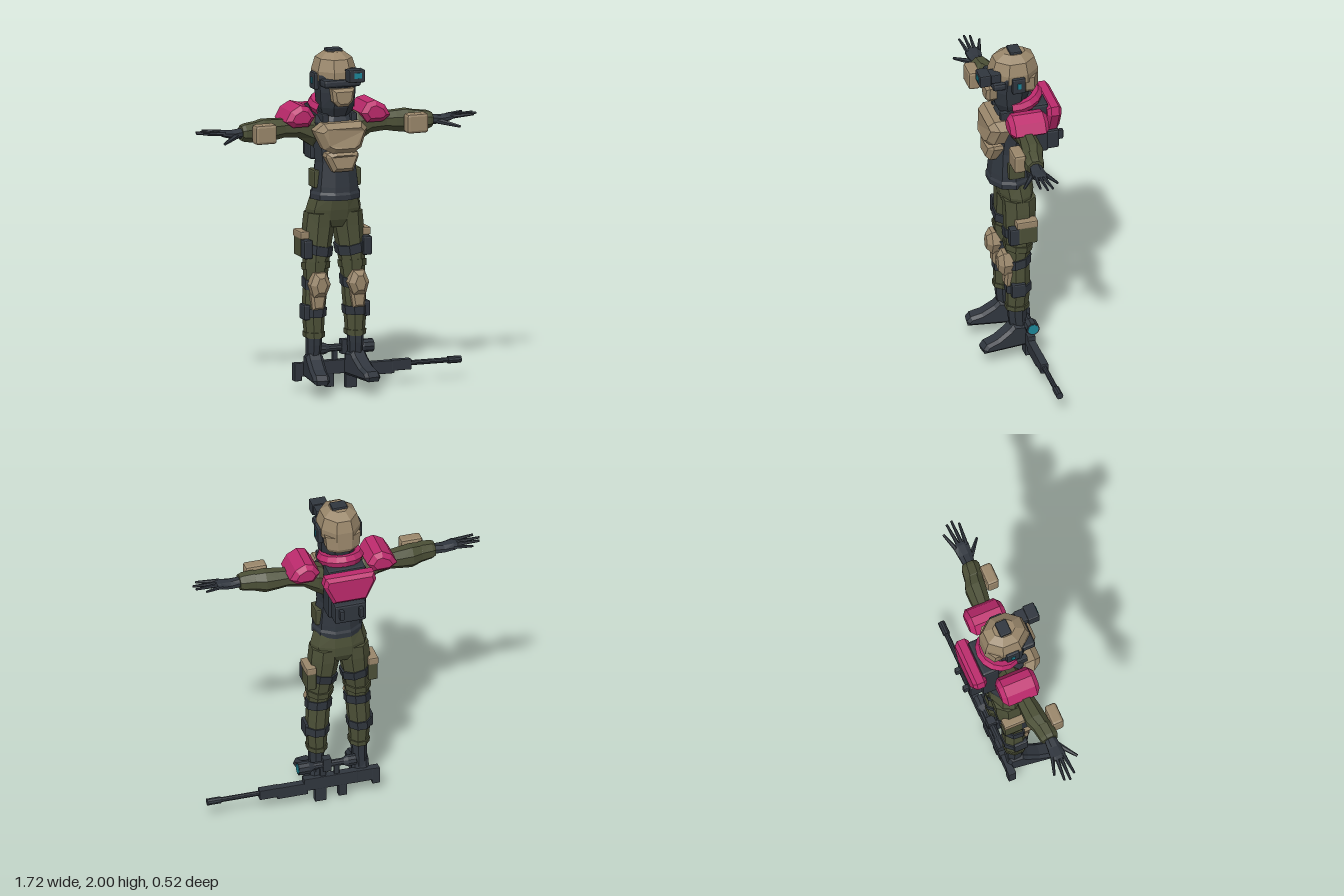
import * as THREE from 'three';
import { RoundedBoxGeometry } from 'three/addons/geometries/RoundedBoxGeometry.js';

const paint = (name, color) => {
  const m = new THREE.MeshStandardMaterial({ color });
  m.name = name;
  return m;
};

// Unshared vertices give hard facets; flip reverses corners after mirroring
function facet(geo, mirrored = false) {
  const g = geo.index ? geo.toNonIndexed() : geo.clone();
  if (mirrored) {
    g.scale(-1, 1, 1);
    const p = g.attributes.position;
    const a = new THREE.Vector3(), b = new THREE.Vector3();
    for (let i = 0; i < p.count; i += 3) {
      a.fromBufferAttribute(p, i + 1);
      b.fromBufferAttribute(p, i + 2);
      p.setXYZ(i + 1, b.x, b.y, b.z);
      p.setXYZ(i + 2, a.x, a.y, a.z);
    }
  }
  g.computeVertexNormals();
  return g;
}

// Skin over elliptical rings. axis y: [y, cx, cz, rx, rz]; axis x: [x, cy, cz, ry, rz]
function loft(rings, axis = 'y', n = 8) {
  const pos = [], idx = [], k = 1 / Math.cos(Math.PI / n);
  for (const [t, c1, c2, r1, r2] of rings) {
    for (let j = 0; j < n; j++) {
      const a = (j + 0.5) / n * Math.PI * 2, s = Math.sin(a) * k, c = Math.cos(a) * k;
      if (axis === 'y') pos.push(c1 + r1 * s, t, c2 + r2 * c);
      else pos.push(t, c1 + r1 * c, c2 + r2 * s);
    }
  }
  for (let i = 0; i < rings.length - 1; i++) {
    for (let j = 0; j < n; j++) {
      const a = i * n + j, b = i * n + (j + 1) % n;
      idx.push(a, b, b + n, a, b + n, a + n);
    }
  }
  const top = (rings.length - 1) * n;
  for (let j = 1; j < n - 1; j++) idx.push(0, j + 1, j, top, top + j, top + j + 1);
  const g = new THREE.BufferGeometry();
  g.setAttribute('position', new THREE.Float32BufferAttribute(pos, 3));
  g.setIndex(idx);
  return g;
}

// Chamfered box from its limits
const box = (x0, x1, y0, y1, z0, z1, r = 0.006) =>
  new RoundedBoxGeometry(x1 - x0, y1 - y0, z1 - z0, 1, r)
    .translate((x0 + x1) / 2, (y0 + y1) / 2, (z0 + z1) / 2);

// Outline extruded from z0 to z1 with chamfered edges
function plate(pts, z0, z1, bevel) {
  const shape = new THREE.Shape(pts.map(p => new THREE.Vector2(...p)));
  return new THREE.ExtrudeGeometry(shape, {
    depth: z1 - z0 - 2 * bevel, bevelThickness: bevel, bevelSize: bevel,
    bevelOffset: -bevel, bevelSegments: 1,
  }).translate(0, 0, z0 + bevel);
}
const symmetric = half => [...half, ...half.map(([x, y]) => [-x, y]).reverse()];

// Tapered rod between two points
function rod(a, b, r0, r1, n = 6) {
  const A = new THREE.Vector3(...a), B = new THREE.Vector3(...b), d = B.clone().sub(A);
  const q = new THREE.Quaternion().setFromUnitVectors(new THREE.Vector3(0, 1, 0), d.clone().normalize());
  return new THREE.CylinderGeometry(r1, r0, d.length(), n).applyQuaternion(q)
    .translate(...A.add(B).multiplyScalar(0.5).toArray());
}

export function createModel() {
  const tan = paint('tan armour', 0x9a876b), green = paint('olive cloth', 0x4c5037);
  const dark = paint('dark gear', 0x30363e), pink = paint('magenta cloth', 0xbc2a6c);
  const teal = paint('teal lens', 0x1d8799);
  const model = new THREE.Group();
  model.name = 'soldier';
  const add = (name, geo, mat) => {
    const m = new THREE.Mesh(facet(geo), mat);
    m.name = name;
    model.add(m);
  };
  const pair = (name, geo, mat) => {
    add(name + 'Left', geo, mat);
    const m = new THREE.Mesh(facet(geo, true), mat);
    m.name = name + 'Right';
    model.add(m);
  };

  // Head and helmet
  add('head', loft([[1.58, 0, 0.03, 0.07, 0.06], [1.62, 0, 0.045, 0.085, 0.07], [1.67, 0, 0.045, 0.102, 0.095],
    [1.76, 0, 0.045, 0.108, 0.115], [1.86, 0, 0.03, 0.114, 0.125]]), dark);
  add('helmet', loft([[1.825, 0, 0.022, 0.114, 0.138], [1.88, 0, 0.022, 0.117, 0.136],
    [1.95, 0, 0.02, 0.097, 0.115], [1.986, 0, 0.018, 0.052, 0.062]]), tan);
  add('helmetBack', loft([[1.745, 0, -0.055, 0.08, 0.05], [1.77, 0, -0.055, 0.098, 0.062], [1.85, 0, -0.05, 0.105, 0.064]]), tan);
  add('helmetTopMount', box(-0.046, 0.046, 1.97, 2, -0.02, 0.05), dark);
  add('visorBand', box(-0.115, 0.115, 1.795, 1.842, 0.09, 0.172, 0.015), dark);
  add('mask', plate(symmetric([[0.03, 1.685], [0.06, 1.715], [0.07, 1.79]]), 0.11, 0.195, 0.018), tan);
  pair('earpiece', box(0.098, 0.135, 1.77, 1.87, -0.018, 0.062, 0.01), dark);
  pair('earLight', box(0.133, 0.139, 1.805, 1.84, 0.01, 0.033, 0.001), teal);
  add('goggleArm', box(0.02, 0.1, 1.845, 1.9, 0.12, 0.22), dark);
  add('goggle', box(0.01, 0.108, 1.833, 1.908, 0.18, 0.25, 0.008), dark);
  add('goggleLens', box(0.04, 0.085, 1.858, 1.89, 0.248, 0.254, 0.001), teal);

  // Scarf, open at the front
  add('scarf', new THREE.TorusGeometry(0.106, 0.032, 6, 10, Math.PI * 1.36).rotateZ(Math.PI * 0.82)
    .rotateX(Math.PI / 2).scale(1, 1.15, 1).rotateX(0.25).translate(0, 1.668, -0.015), pink);

  // Torso and armour
  add('vest', loft([[1.16, 0, 0.045, 0.137, 0.122], [1.21, 0, 0.045, 0.134, 0.118], [1.35, 0, 0.045, 0.117, 0.103],
    [1.45, 0, 0.038, 0.124, 0.1], [1.58, 0, 0.03, 0.138, 0.1], [1.625, 0, 0.03, 0.095, 0.08]], 'y', 10), dark);
  add('vestHem', loft([[1.135, 0, 0.045, 0.145, 0.128], [1.165, 0, 0.045, 0.145, 0.128], [1.18, 0, 0.045, 0.136, 0.12]], 'y', 10), dark);
  const chest = plate(symmetric([[0.065, 1.415], [0.115, 1.44], [0.16, 1.545], [0.115, 1.59]]), 0.1, 0.222, 0.03);
  const belly = plate(symmetric([[0.06, 1.305], [0.1, 1.39], [0.095, 1.412], [0.05, 1.425]]), 0.1, 0.205, 0.022);
  // Wrap plates round the body
  for (const g of [chest, belly]) {
    const p = g.attributes.position;
    for (let i = 0; i < p.count; i++) p.setZ(i, p.getZ(i) - 2 * p.getX(i) ** 2);
  }
  add('chestPlate', chest, tan);
  add('bellyPlate', belly, tan);
  pair('vestStrap', box(0.07, 0.105, 1.56, 1.635, -0.08, 0.125), dark);
  pair('sidePouch', box(0.1, 0.146, 1.2, 1.305, -0.012, 0.088, 0.01), green);
  pair('shoulderPad', plate([[0.142, 1.62], [0.18, 1.565], [0.275, 1.565], [0.322, 1.6], [0.288, 1.66],
    [0.23, 1.692], [0.18, 1.68]], -0.112, 0.118, 0.026), pink);

  // Backpack
  add('packFrame', box(-0.115, 0.115, 1.34, 1.66, -0.16, -0.055, 0.015), dark);
  add('packRoll', plate(symmetric([[0.1, 1.475], [0.158, 1.6], [0.145, 1.652]]), -0.23, -0.145, 0.02), pink);
  add('packPouch', box(-0.095, 0.095, 1.34, 1.46, -0.23, -0.14, 0.012), dark);
  pair('packBuckle', box(0.045, 0.072, 1.38, 1.44, -0.26, -0.22), dark);

  // Arms
  pair('sleeve', loft([[0.07, 1.5, 0, 0.1, 0.06], [0.14, 1.53, 0.005, 0.09, 0.068], [0.22, 1.555, 0.01, 0.062, 0.06],
    [0.31, 1.555, 0.02, 0.053, 0.05], [0.37, 1.552, 0.025, 0.06, 0.056], [0.44, 1.55, 0.03, 0.067, 0.06],
    [0.52, 1.55, 0.048, 0.052, 0.048]], 'x'), green);
  pair('cuff', loft([[0.48, 1.55, 0.045, 0.052, 0.05], [0.5, 1.55, 0.048, 0.058, 0.056], [0.565, 1.55, 0.055, 0.05, 0.053],
    [0.585, 1.55, 0.056, 0.042, 0.045]], 'x'), green);
  pair('elbowPad', box(0.4, 0.532, 1.493, 1.607, 0.095, 0.167, 0.016), tan);
  pair('palm', loft([[0.57, 1.55, 0.056, 0.028, 0.032], [0.64, 1.546, 0.058, 0.024, 0.04],
    [0.7, 1.556, 0.056, 0.018, 0.046], [0.72, 1.56, 0.055, 0.012, 0.04]], 'x'), dark);
  [[0.022, 0.8, -0.012], [0.045, 0.85, 0.03], [0.066, 0.86, 0.063], [0.087, 0.832, 0.1]].forEach(([z, tx, tz], i) =>
    pair('finger' + (i + 1), rod([0.695, 1.56, z], [tx, 1.568, tz], 0.013, 0.007), dark));
  pair('thumb', rod([0.62, 1.54, 0.08], [0.725, 1.515, 0.165], 0.018, 0.008), dark);

  // Trousers
  add('hips', loft([[0.965, 0, 0.01, 0.09, 0.07], [1.01, 0, 0.01, 0.155, 0.092], [1.07, 0, 0.015, 0.162, 0.1],
    [1.15, 0, 0.025, 0.14, 0.1]], 'y', 10), green);
  const leg = [[0.32, 0.126, 0.035, 0.05, 0.06], [0.45, 0.128, 0.03, 0.06, 0.066], [0.55, 0.122, 0.03, 0.064, 0.066],
    [0.66, 0.115, 0.03, 0.064, 0.066], [0.75, 0.112, 0.026, 0.07, 0.074], [0.88, 0.099, 0.015, 0.079, 0.085],
    [0.97, 0.089, 0.01, 0.086, 0.09], [1.05, 0.085, 0.012, 0.081, 0.092]];
  pair('trouserLeg', loft(leg), green);
  // Leg section at a given height, swollen by a margin
  const legAt = (y, grow) => {
    const i = Math.max(1, leg.findIndex(r => r[0] >= y));
    const f = (y - leg[i - 1][0]) / (leg[i][0] - leg[i - 1][0]);
    return leg[i].map((v, k) => leg[i - 1][k] + (v - leg[i - 1][k]) * f + (k > 2 ? grow : 0));
  };
  const band = (y0, y1, grow, tilt = 0, lean = 0) => {
    const g = loft([legAt(y0, grow), legAt(y1, grow)]), p = g.attributes.position;
    for (let i = 0; i < p.count; i++) p.setY(i, p.getY(i) + tilt * (p.getX(i) - 0.11) + lean * p.getZ(i));
    return g;
  };
  pair('thighStrap', band(0.815, 0.87, 0.008, 0.2, -0.1), dark);
  pair('kneeStrap', band(0.62, 0.675, 0.008, 0, -0.2), dark);
  pair('shinStrap', band(0.445, 0.495, 0.008), dark);
  pair('kneeFold', band(0.715, 0.755, 0.007, 0, 0.15), green);
  pair('hemFold', band(0.325, 0.355, 0.007), green);
  pair('kneePad', plate([[0.085, 0.57], [0.16, 0.57], [0.18, 0.64], [0.152, 0.71], [0.085, 0.71], [0.056, 0.64]],
    0.04, 0.15, 0.028), tan);
  pair('shinGuard', plate([[0.09, 0.49], [0.16, 0.49], [0.17, 0.585], [0.075, 0.585]], 0.05, 0.115, 0.014), tan);
  pair('shinPouch', box(0.165, 0.205, 0.43, 0.52, 0, 0.085, 0.01), dark);
  pair('thighPouch', box(0.155, 0.213, 0.795, 0.915, -0.065, 0.045, 0.008), green);
  pair('thighPouchFlap', box(0.155, 0.217, 0.9, 0.945, -0.068, 0.06, 0.008), tan);
  pair('thighHolster', box(0.155, 0.21, 0.79, 0.9, 0.03, 0.1, 0.01), dark);

  // Boots, toes turned out
  pair('bootShaft', loft([[0.1, 0.13, 0.025, 0.04, 0.05], [0.2, 0.13, 0.03, 0.039, 0.048], [0.28, 0.128, 0.036, 0.042, 0.052],
    [0.34, 0.127, 0.036, 0.044, 0.054]]), dark);
  pair('bootFoot', plate([[-0.03, 0.078], [0.25, 0.078], [0.258, 0.105], [0.235, 0.135], [0.17, 0.155],
    [0.1, 0.2], [0.07, 0.23], [-0.01, 0.22], [-0.03, 0.14]], -0.05, 0.05, 0.018)
    .rotateY(-Math.PI / 2).rotateY(0.13).translate(0.126, 0, 0.002), dark);

  // Rifle lying behind the feet
  const gz = -0.025;
  const gun = (name, x0, x1, y0, y1, w) => add(name, box(x0, x1, y0, y1, gz - w / 2, gz + w / 2, 0.004), dark);
  gun('rifleButt', -0.23, -0.185, 0.06, 0.165, 0.046);
  gun('rifleStock', -0.2, -0.07, 0.085, 0.165, 0.04);
  gun('rifleReceiver', -0.1, 0.225, 0.088, 0.168, 0.046);
  gun('rifleHandguard', 0.2, 0.385, 0.065, 0.14, 0.044);
  gun('rifleForeEnd', 0.37, 0.49, 0.08, 0.142, 0.046);
  gun('rifleGrip', -0.036, 0.016, 0.012, 0.1, 0.034);
  gun('rifleMagazine', 0.087, 0.157, 0, 0.1, 0.036);
  gun('scopeMountRear', 0.01, 0.04, 0.16, 0.225, 0.026);
  gun('scopeMountFront', 0.09, 0.125, 0.16, 0.225, 0.026);
  gun('scopeTurret', 0.06, 0.11, 0.2, 0.285, 0.05);
  const tube = (name, x0, x1, y, r0, r1, mat = dark) =>
    add(name, rod([x0, y, gz], [x1, y, gz], r0, r1, 10), mat);
  tube('rifleBarrel', 0.48, 0.73, 0.115, 0.015, 0.015);
  tube('rifleMuzzle', 0.72, 0.8, 0.115, 0.021, 0.021);
  tube('scopeTube', -0.03, 0.2, 0.237, 0.022, 0.022);
  tube('scopeEyepiece', -0.088, -0.04, 0.237, 0.034, 0.034);
  tube('scopeEyepieceCone', -0.04, -0.015, 0.237, 0.034, 0.022);
  tube('scopeBell', 0.165, 0.195, 0.237, 0.022, 0.039);
  tube('scopeObjective', 0.195, 0.256, 0.237, 0.039, 0.039);
  tube('scopeLens', 0.254, 0.259, 0.237, 0.031, 0.031, teal);

  return model;
}
